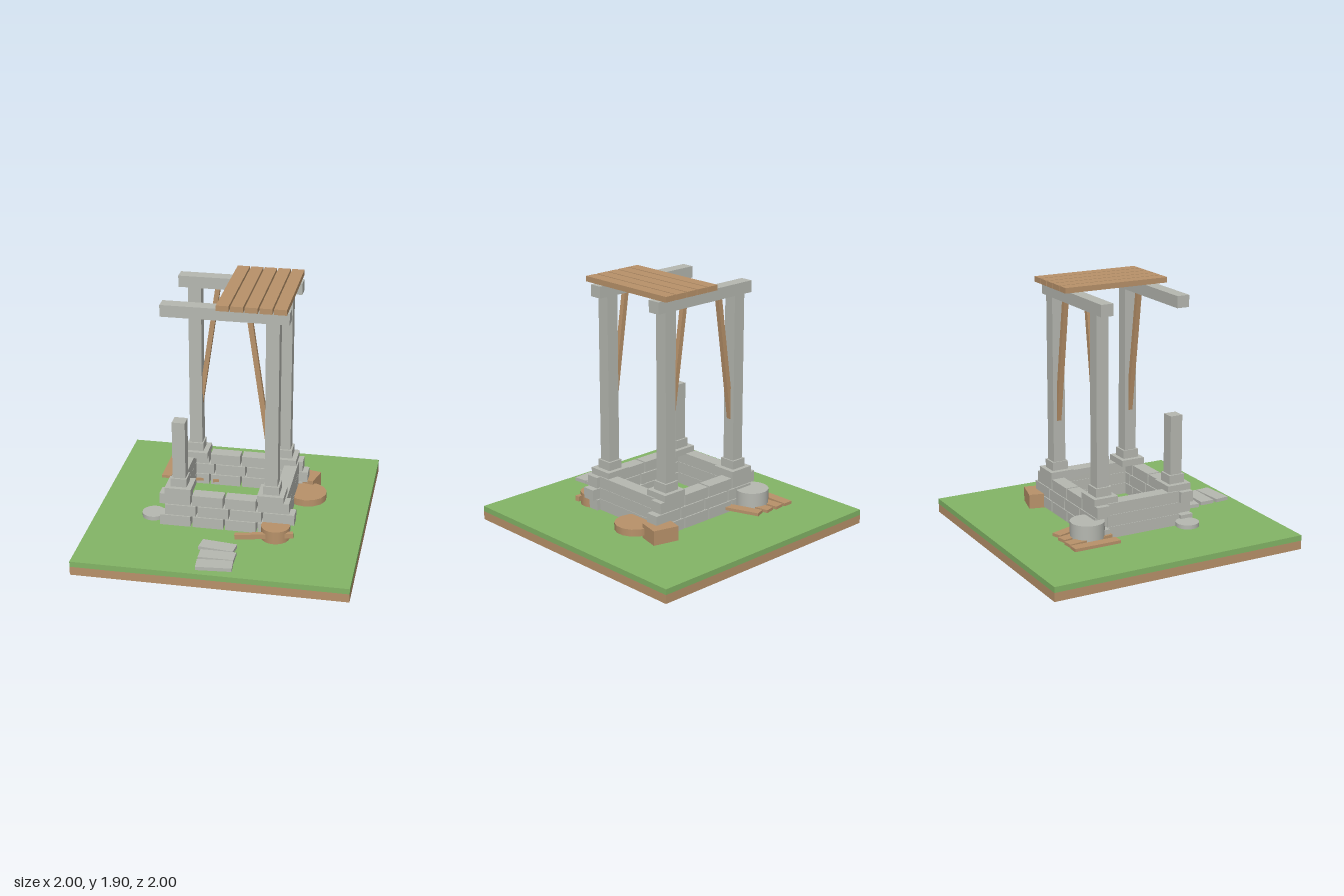
import * as THREE from 'three';

export function createModel() {
  const root = new THREE.Group();
  root.name = 'ruinedWell';

  const mat = (name, color) => {
    const m = new THREE.MeshStandardMaterial({ color });
    m.name = name;
    return m;
  };
  const grass = mat('grass', 0x83b566);
  const wood = mat('wood', 0xb8926a);
  const stone = mat('stone', 0xb6b8b1);

  const group = (name) => {
    const g = new THREE.Group();
    g.name = name;
    root.add(g);
    return g;
  };
  const place = (parent, name, geo, m, pos, rotY = 0, rotZ = 0) => {
    const mesh = new THREE.Mesh(geo, m);
    mesh.name = name;
    mesh.position.set(...pos);
    mesh.rotation.set(0, rotY, rotZ);
    parent.add(mesh);
    return mesh;
  };
  // size and centre, with y given as a bottom and top height
  const block = (parent, name, m, x, z, w, d, y0, y1, rotY = 0, rotZ = 0) =>
    place(parent, name, new THREE.BoxGeometry(w, y1 - y0, d), m, [x, (y0 + y1) / 2, z], rotY, rotZ);
  const disc = (parent, name, m, x, z, r, y0, y1, sides) =>
    place(parent, name, new THREE.CylinderGeometry(r, r, y1 - y0, sides), m, [x, (y0 + y1) / 2, z]);

  // Ground slab: soil below, grass on top
  const ground = group('ground');
  block(ground, 'soil', wood, 0, 0, 2, 2, 0, 0.065);
  block(ground, 'grass', grass, 0, 0, 2, 2, 0.065, 0.107);

  // Well wall: three courses, the middle one shifted sideways
  const wall = group('wall');
  for (let row = 0; row < 3; row++) {
    const y0 = 0.133 + row * 0.088;
    const y1 = y0 + 0.082;
    const shift = row === 1 ? 0.04 : 0;
    for (const s of [-1, 1]) {
      for (let i = 0; i < 4; i++) {
        block(wall, 'wallBlock', stone, -0.365 + i * 0.2435 + shift, s * 0.345, 0.228, 0.1, y0, y1);
      }
      block(wall, 'sideSlab', stone, s * 0.4, 0, 0.1, 0.59, y0, y1 + 0.004);
    }
  }

  // Corner posts on stepped bases; the front right one is broken off
  const frame = group('frame');
  for (const sx of [-1, 1]) {
    for (const sz of [-1, 1]) {
      const broken = sx < 0 && sz > 0;
      const x = sx * 0.342;
      const z = sz * 0.303;
      block(frame, 'postFoot', stone, x, z, 0.195, 0.19, 0.39, 0.44);
      block(frame, 'postCollar', stone, x, z, 0.12, 0.125, 0.44, 0.505);
      block(frame, 'post', stone, sx * 0.34, sz * 0.303, 0.096, 0.096, 0.5, broken ? 0.95 : 1.765);
      // Diagonal brace from the post up to the beam
      if (!broken) {
        block(frame, 'brace', wood, sx * 0.244, sz * 0.303, 0.036, 0.036, 0.75, 1.8, 0, sx * 0.145);
      }
    }
  }
  for (const s of [-1, 1]) {
    block(frame, 'beam', stone, -0.002, s * 0.303, 0.916, 0.097, 1.76, 1.847);
  }

  // Remaining roof planks
  const roof = group('roof');
  for (let i = 0; i < 5; i++) {
    block(roof, 'roofPlank', wood, -0.003 + i * 0.101, 0, 0.09, 0.83, 1.856, 1.896);
  }

  // Fallen planks at the back corner: x, z, turn
  const debris = group('debris');
  for (const [x, z, turn] of [
    [-0.585, -0.467, 0], [-0.475, -0.465, 0.1], [-0.36, -0.465, 0.2], [-0.24, -0.462, 0.34],
  ]) {
    block(debris, 'fallenPlank', wood, x, z, 0.076, 0.36, 0.157, 0.18, turn);
  }
  disc(debris, 'roundStone', stone, -0.407, -0.44, 0.125, 0.165, 0.285, 32);
  disc(debris, 'flatStone', stone, -0.543, 0.31, 0.086, 0.157, 0.188, 32);

  // Stepping stones in front: x, z, turn
  for (const [x, z, turn] of [[0, 0.625, -0.12], [0.02, 0.755, 0], [0.025, 0.882, 0.085]]) {
    block(debris, 'pathStone', stone, x, z, 0.26, 0.11, 0.107, 0.134, turn);
  }

  // Wooden scraps on the left side
  disc(debris, 'lid', wood, 0.535, -0.18, 0.147, 0.152, 0.205, 14);
  block(debris, 'crate', wood, 0.485, -0.397, 0.2, 0.17, 0.125, 0.235, -0.25);
  disc(debris, 'bucket', wood, 0.388, 0.43, 0.105, 0.133, 0.23, 20);
  block(debris, 'looseBoard', wood, 0.315, 0.502, 0.425, 0.036, 0.16, 0.198, 0.14, 0.05);

  return root;
}
